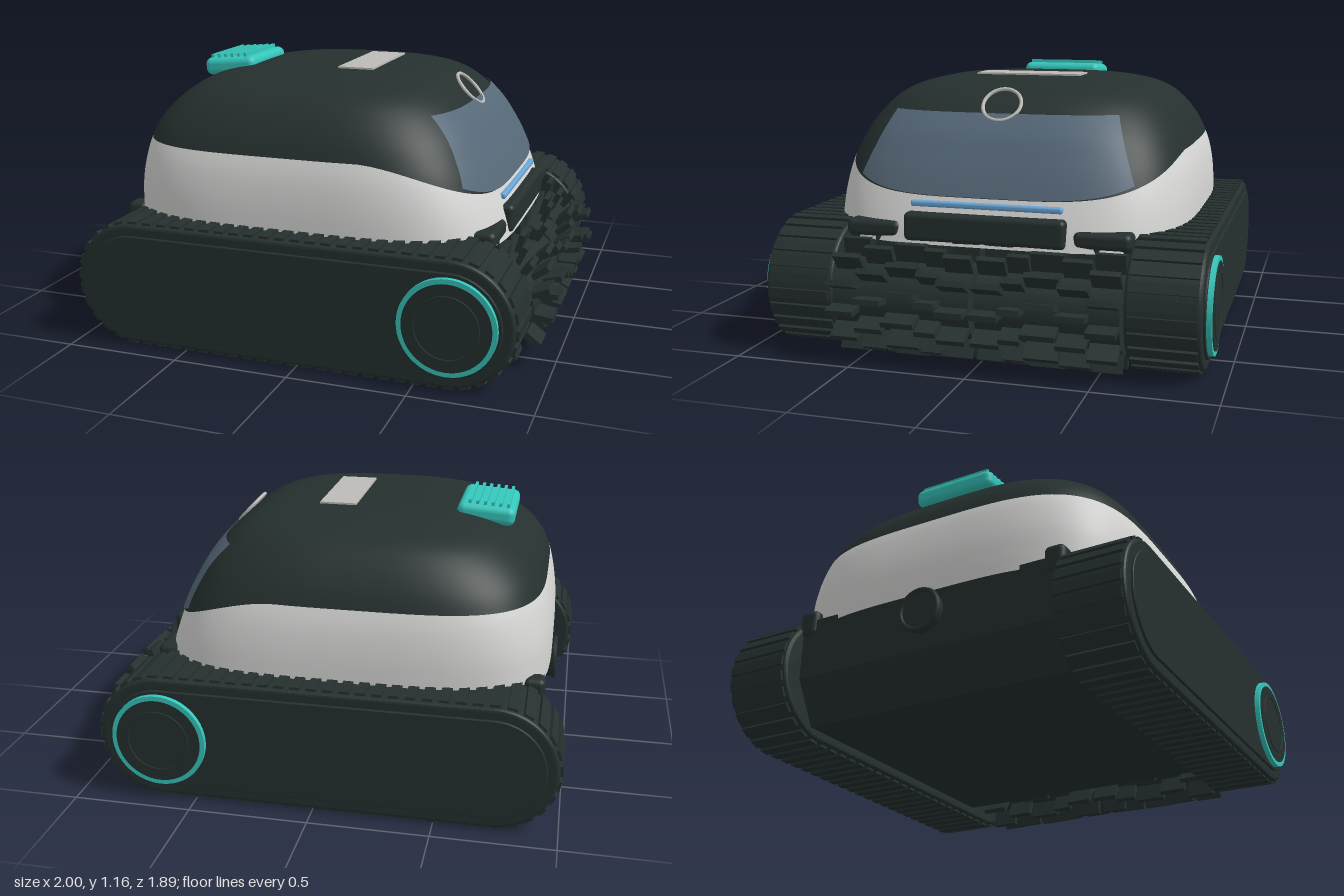
import * as THREE from 'three';
import { mergeGeometries } from 'three/addons/utils/BufferGeometryUtils.js';
import { RoundedBoxGeometry } from 'three/addons/geometries/RoundedBoxGeometry.js';

const mat = (name, color, side = THREE.FrontSide) => {
  const m = new THREE.MeshStandardMaterial({ color, side });
  m.name = name;
  return m;
};

// Shell sections: height, rear x, front x, half width, corner squareness
const SECTIONS = [
  [0.48, -0.92, 0.765, 0.79, 4], [0.56, -0.92, 0.745, 0.79, 4], [0.66, -0.915, 0.71, 0.785, 4],
  [0.76, -0.9, 0.67, 0.77, 3.9], [0.84, -0.88, 0.63, 0.745, 3.8], [0.92, -0.845, 0.585, 0.71, 3.6],
  [1.0, -0.775, 0.52, 0.655, 3.4], [1.06, -0.69, 0.45, 0.59, 3.2], [1.1, -0.58, 0.37, 0.5, 3],
  [1.125, -0.43, 0.24, 0.37, 2.8], [1.132, -0.25, 0.08, 0.2, 2.6], [1.133, -0.09, -0.09, 0, 2.5],
];
const extents = new THREE.CatmullRomCurve3(SECTIONS.map(s => new THREE.Vector3(s[1], s[2], s[3])), false, 'catmullrom');
const heights = new THREE.CatmullRomCurve3(SECTIONS.map(s => new THREE.Vector3(s[0], s[4], 0)), false, 'catmullrom');

function tAt(y) {
  let a = 0, b = 1;
  for (let i = 0; i < 30; i++) {
    const m = (a + b) / 2;
    if (heights.getPoint(m).x < y) a = m; else b = m;
  }
  return a;
}
const spow = (v, p) => Math.sign(v) * Math.abs(v) ** p;
function shellPoint(theta, t) {
  const e = extents.getPoint(t), h = heights.getPoint(t), p = 2 / h.y;
  return new THREE.Vector3((e.x + e.y) / 2 + (e.y - e.x) / 2 * spow(Math.cos(theta), p), h.x, e.z * spow(Math.sin(theta), p));
}
// Colour seam: level at the sides and rear, dipping toward the front
function seamT(theta) {
  let t = tAt(0.76);
  for (let i = 0; i < 4; i++) {
    const x = shellPoint(theta, t).x;
    t = tAt(0.84 - 0.165 * Math.max(0, (x - 0.2) / 0.5) ** 1.6);
  }
  return t;
}

// Surface from a grid of points, optionally closed around u
function grid(nu, nv, fn, closed) {
  const cols = closed ? nu : nu + 1, pos = [], idx = [];
  for (let i = 0; i < cols; i++) for (let j = 0; j <= nv; j++) pos.push(...fn(i / nu, j / nv).toArray());
  for (let i = 0; i < nu; i++) for (let j = 0; j < nv; j++) {
    const a = i * (nv + 1) + j, b = ((i + 1) % (closed ? nu : nu + 1)) * (nv + 1) + j;
    idx.push(a, a + 1, b, b, a + 1, b + 1);
  }
  const g = new THREE.BufferGeometry();
  g.setAttribute('position', new THREE.Float32BufferAttribute(pos, 3));
  g.setIndex(idx);
  g.computeVertexNormals();
  return g;
}

function stadium(r, x0, x1, y) {
  const s = new THREE.Shape();
  s.absarc(x1, y, r, -Math.PI / 2, Math.PI / 2, false);
  s.absarc(x0, y, r, Math.PI / 2, Math.PI * 1.5, false);
  s.closePath();
  return s;
}
const extrude = (shape, depth, bevel) => new THREE.ExtrudeGeometry(shape, {
  depth, bevelEnabled: bevel > 0, bevelSize: bevel, bevelThickness: bevel, bevelOffset: -bevel, bevelSegments: 3, curveSegments: 32,
});

export function createModel() {
  const root = new THREE.Group();
  root.name = 'poolCleaningRobot';
  const dark = mat('charcoal', 0x25302f);
  const white = mat('shellWhite', 0xd6d6d5, THREE.DoubleSide);
  const teal = mat('teal', 0x35c6bb);
  const glass = mat('windowBlueGrey', 0x566878, THREE.DoubleSide);
  const blue = mat('lightBlue', 0x6aa6d6);
  const silver = mat('silver', 0xbdbcb8);
  const add = (name, geo, m, x = 0, y = 0, z = 0, parent = root) => {
    const mesh = new THREE.Mesh(geo, m);
    mesh.name = name;
    mesh.position.set(x, y, z);
    parent.add(mesh);
    return mesh;
  };

  // Shell: white skirt, dark dome and front window
  const N = 112, seams = Array.from({ length: N }, (_, i) => seamT(i / N * Math.PI * 2));
  const seam = u => seams[Math.round(u * N) % N];
  add('shellSkirt', grid(N, 16, (u, v) => shellPoint(u * Math.PI * 2, seam(u) * v), true), white);
  add('shellDome', grid(N, 36, (u, v) => shellPoint(u * Math.PI * 2, seam(u) + (1 - seam(u)) * v), true), dark);
  add('frontWindow', grid(48, 20, (u, v) => {
    const s = u * 2 - 1, yb = 0.672 + 0.062 * s ** 4, y = yb + (1.0 - yb) * v;
    const z = s * (0.59 - 0.1 * (y - 0.734) / 0.266), t = tAt(y);
    const b = extents.getPoint(t).z, n = heights.getPoint(t).y;
    const p = shellPoint(Math.asin(spow(z / b, n / 2)), t);
    return p.add(new THREE.Vector3(0.007, 0.004, 0.003 * s));
  }), glass);

  // Top plate, front ring and rear handle with grip ribs
  add('topPlate', new THREE.BoxGeometry(0.16, 0.008, 0.48), silver, 0.03, 1.138, 0);
  const ring = add('sensorRing', new THREE.TorusGeometry(0.083, 0.008, 8, 48), silver, 0.49, 1.037, 0);
  ring.rotation.set(0, Math.PI / 2, 0);
  ring.rotation.order = 'ZYX';
  ring.rotation.z = 0.75;
  const handle = new THREE.Group();
  handle.name = 'handle';
  handle.position.set(-0.605, 1.105, 0);
  handle.rotation.z = 0.08;
  root.add(handle);
  add('handleBody', new RoundedBoxGeometry(0.25, 0.08, 0.38, 4, 0.03), teal, 0, 0, 0, handle);
  for (let i = 0; i < 6; i++) add('handleRib', new THREE.BoxGeometry(0.013, 0.03, 0.33), teal, -0.09 + i * 0.033, 0.04, 0, handle);

  // Front bumper and light strip
  add('frontBumper', new RoundedBoxGeometry(0.07, 0.12, 0.69, 4, 0.022), dark, 0.735, 0.55, 0);
  add('lightStrip', new RoundedBoxGeometry(0.03, 0.026, 0.65, 3, 0.01), blue, 0.715, 0.643, 0);

  // Chassis between the tracks
  const hull = new THREE.Shape([[-0.9, 0.5], [-0.9, 0.24], [-0.8, 0.06], [0.5, 0.06], [0.58, 0.14], [0.6, 0.46], [0.7, 0.48], [0.7, 0.5]]
    .map(p => new THREE.Vector2(...p)));
  add('chassis', extrude(hull, 1.24, 0), dark, 0, 0, -0.62);
  const port = add('rearPort', new THREE.CylinderGeometry(0.09, 0.09, 0.05, 40), dark, -0.912, 0.4, 0);
  port.rotation.z = Math.PI / 2;
  const portRim = add('rearPortRim', new THREE.TorusGeometry(0.086, 0.012, 8, 40), dark, -0.932, 0.4, 0);
  portRim.rotation.y = Math.PI / 2;

  // Tracks, mirrored on both sides
  const outline = stadium(0.262, -0.73, 0.64, 0.28);
  const RIBS = 66, ribs = [];
  const pts = outline.getSpacedPoints(RIBS * 4);
  for (let i = 0; i < RIBS; i++) {
    const p = pts[i * 4], q = pts[i * 4 + 1], o = pts[(i * 4 + RIBS * 4 - 1) % (RIBS * 4)];
    ribs.push(new THREE.BoxGeometry(0.042, 0.022, 0.27).rotateZ(Math.atan2(q.y - o.y, q.x - o.x)).translate(p.x, p.y, 0));
  }
  const ribGeo = mergeGeometries(ribs);
  for (const side of [1, -1]) {
    const track = new THREE.Group();
    track.name = side > 0 ? 'leftTrack' : 'rightTrack';
    track.position.z = side * 0.76;
    if (side < 0) track.scale.z = -1;
    root.add(track);
    add('trackBelt', extrude(outline, 0.27, 0.015), dark, 0, 0, -0.135, track);
    add('trackRibs', ribGeo, dark, 0, 0, 0, track);
    add('sidePanel', extrude(stadium(0.215, -0.73, 0.64, 0.28), 0.016, 0.005), dark, 0, 0, 0.139, track);
    const disc = (name, r, depth, m, z) => {
      add(name, new THREE.CylinderGeometry(r, r, depth, 56), m, 0.64, 0.28, z, track).rotation.x = Math.PI / 2;
    };
    disc('wheelTrim', 0.2, 0.03, teal, 0.166);
    disc('wheelCap', 0.18, 0.03, dark, 0.169);
    add('wheelCapGroove', new THREE.TorusGeometry(0.13, 0.004, 6, 48), dark, 0.64, 0.28, 0.184, track);

    // Corner fenders beside the shell
    add('frontFender', new RoundedBoxGeometry(0.12, 0.07, 0.24, 3, 0.025), dark, 0.69, 0.53, side * 0.49);
    add('rearFender', new RoundedBoxGeometry(0.09, 0.12, 0.09, 3, 0.025), dark, -0.865, 0.49, side * 0.585);
  }

  // Roller brush: staggered blades in columns, split at the middle
  const brush = new THREE.Group();
  brush.name = 'rollerBrush';
  brush.position.set(0.75, 0.255, 0);
  root.add(brush);
  const edges = [0.012, 0.13, 0.22, 0.36, 0.48, 0.6], BLADES = 12, blades = [];
  for (const side of [1, -1]) {
    for (let c = 0; c < 5; c++) for (let k = 0; k < BLADES; k++) {
      const w = edges[c + 1] - edges[c];
      blades.push(new THREE.BoxGeometry(0.12, 0.024, w)
        .translate(0.183, 0, side * (edges[c] + w / 2))
        .rotateZ((k + [0, 0.25, 0.5, 0.2, 0.75][c]) / BLADES * Math.PI * 2));
    }
    add('brushCore', new THREE.CylinderGeometry(0.165, 0.165, 0.588, 40), dark, 0, 0, side * 0.306, brush).rotation.x = Math.PI / 2;
  }
  add('brushBlades', mergeGeometries(blades), dark, 0, 0, 0, brush);
  return root;
}
